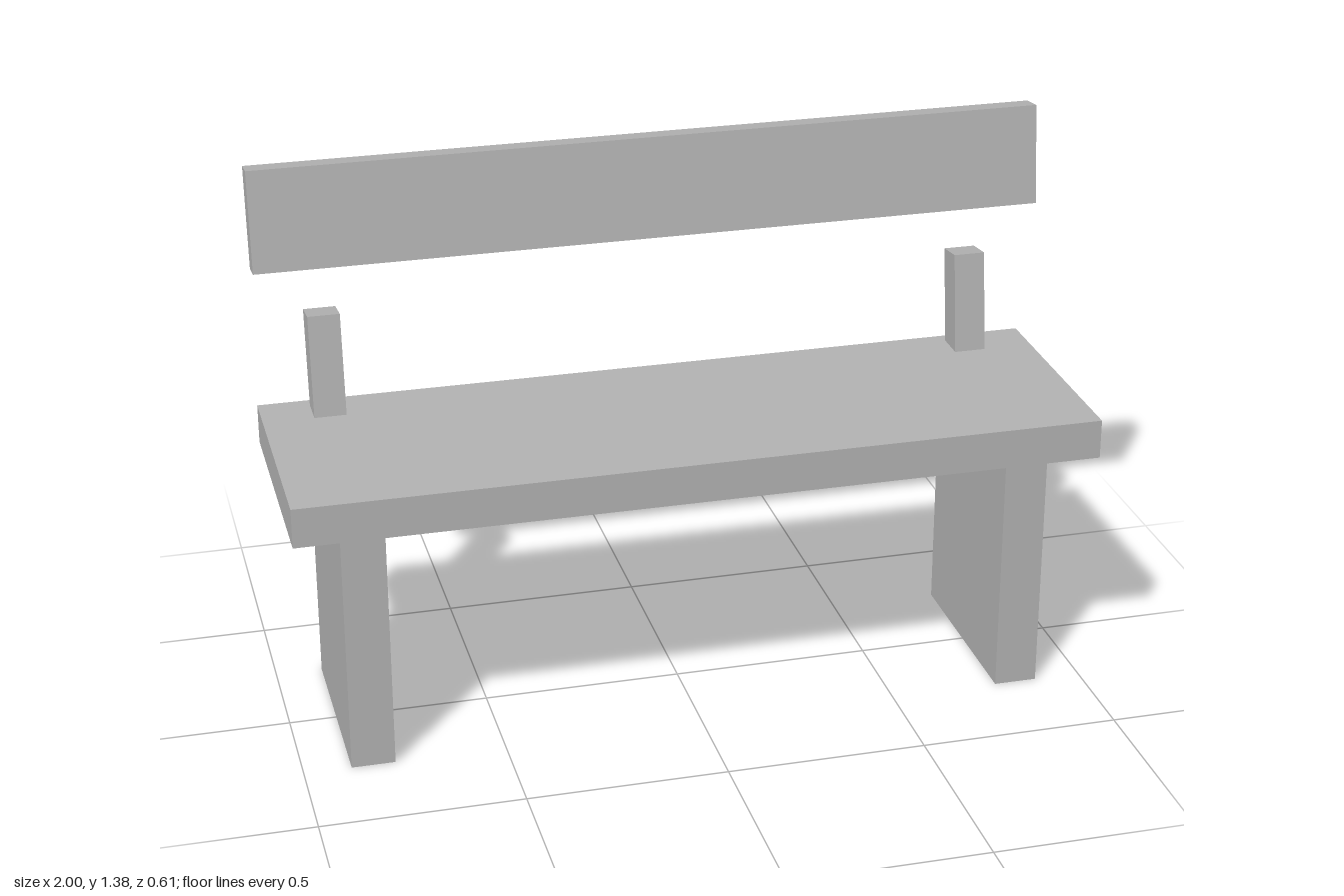
import * as THREE from 'three';

export function createModel() {
  const bench = new THREE.Group();
  bench.name = 'bench';

  const grey = new THREE.MeshStandardMaterial({ color: 0xb3b3b3 });
  grey.name = 'plain grey';

  const TILT = -0.132; // backward lean of the backrest and its posts

  function addBoard(name, size, position, tilt = 0) {
    const mesh = new THREE.Mesh(new THREE.BoxGeometry(...size), grey);
    mesh.name = name;
    mesh.position.set(...position);
    mesh.rotation.x = tilt;
    bench.add(mesh);
  }

  // Thick seat plank
  addBoard('seat', [2, 0.1, 0.61], [0, 0.687, 0]);

  // Floating backrest plank
  addBoard('backrest', [2, 0.254, 0.064], [0, 1.245, -0.255], TILT);

  // Slab legs and leaning posts, one pair at each end
  for (const [side, s] of [['left', 1], ['right', -1]]) {
    addBoard(side + 'Leg', [0.108, 0.64, 0.506], [s * 0.829, 0.32, 0]);
    addBoard(side + 'Post', [0.08, 0.364, 0.079], [s * 0.833, 0.807, -0.2425], TILT);
  }

  return bench;
}
